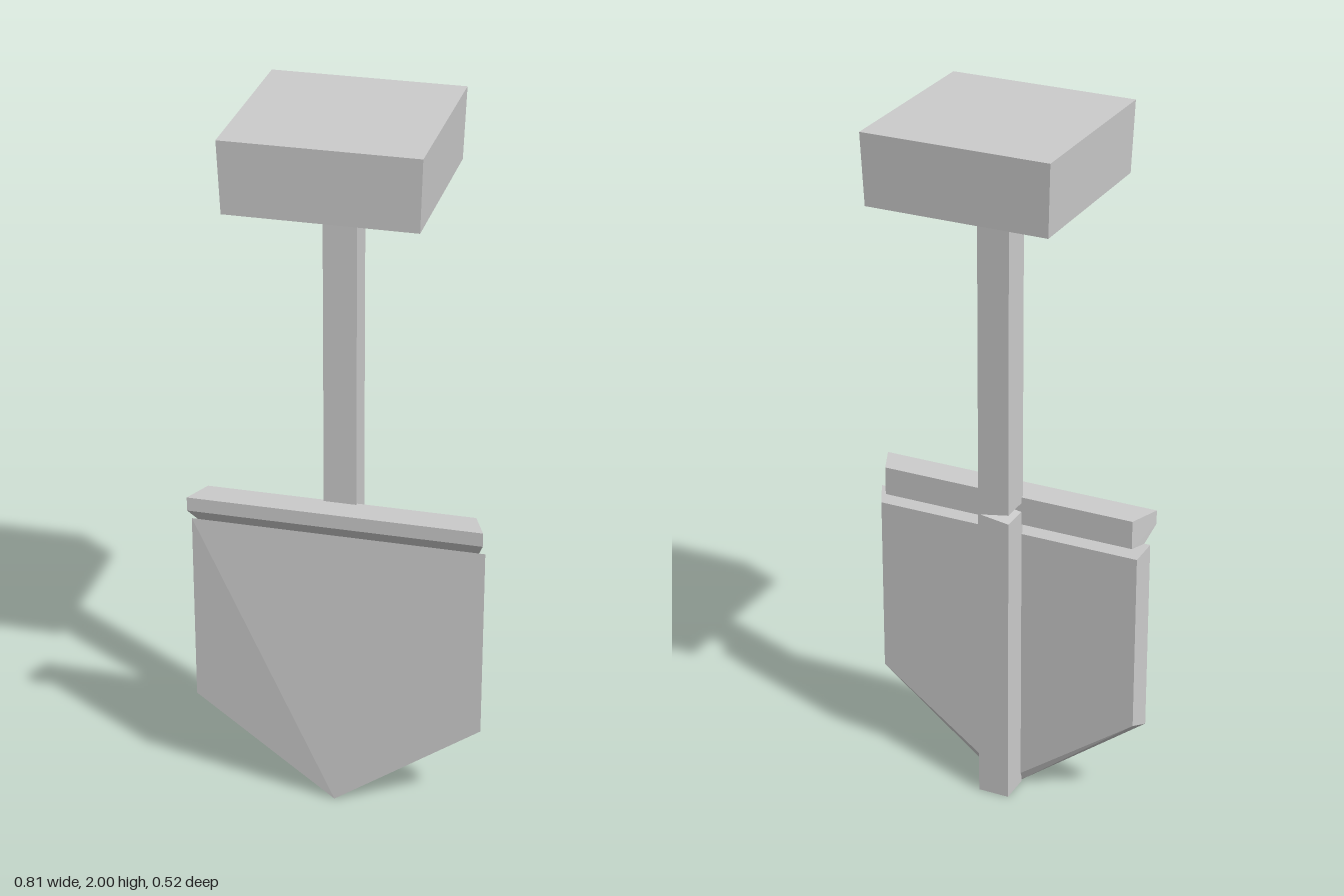
import * as THREE from 'three';
import { ConvexGeometry } from 'three/addons/geometries/ConvexGeometry.js';

const material = new THREE.MeshStandardMaterial({ color: 0xcccccc, flatShading: true });

function part(name, geometry) {
  const mesh = new THREE.Mesh(geometry, material);
  mesh.name = name;
  return mesh;
}

// Convex solid from corner points given for the +x half and mirrored to -x
function mirroredSolid(name, corners) {
  const points = [];
  for (const [x, y, z] of corners) {
    points.push(new THREE.Vector3(x, y, z));
    if (x > 0) points.push(new THREE.Vector3(-x, y, z));
  }
  return part(name, new ConvexGeometry(points));
}

export function createModel() {
  const group = new THREE.Group();

  // Square grip, narrowing slightly downwards with a shallow pointed underside
  const grip = [];
  for (const s of [1, -1]) {
    grip.push([0.26, 2, 0.26 * s], [0.253, 1.803, 0.253 * s], [0.045, 1.79, 0.045 * s]);
  }
  group.add(mirroredSolid('grip', grip));

  // Square shaft with a thin wedge cut into one side
  const outline = new THREE.Shape([
    [-0.045, 0], [0.045, 0], [0.045, 1.8], [-0.045, 1.8],
    [-0.045, 0.895], [0.04, 0.88], [-0.045, 0.868],
  ].map(([x, y]) => new THREE.Vector2(x, y)));
  const shaft = new THREE.ExtrudeGeometry(outline, { depth: 0.09, bevelEnabled: false });
  shaft.translate(0, 0, -0.04);
  group.add(part('shaft', shaft));

  // Foot rest: bar chamfered along its lower front edge, ends angled in towards the back
  group.add(mirroredSolid('footRest', [
    [0.405, 0.915, 0.125], [0.405, 0.875, 0.125], [0.388, 0.83, 0.085],
    [0.37, 0.83, 0.042], [0.37, 0.912, 0.042],
  ]));

  // Pointed blade: front swells towards the tip, rim bevelled to a smaller back
  group.add(mirroredSolid('blade', [
    [0.405, 0.83, 0.085], [0.405, 0.27, 0.085], [0, 0, 0.117],
    [0.04, 0, 0.055],
    [0.385, 0.8, 0.043], [0.385, 0.28, 0.043], [0.03, 0.02, 0.043],
  ]));

  return group;
}
